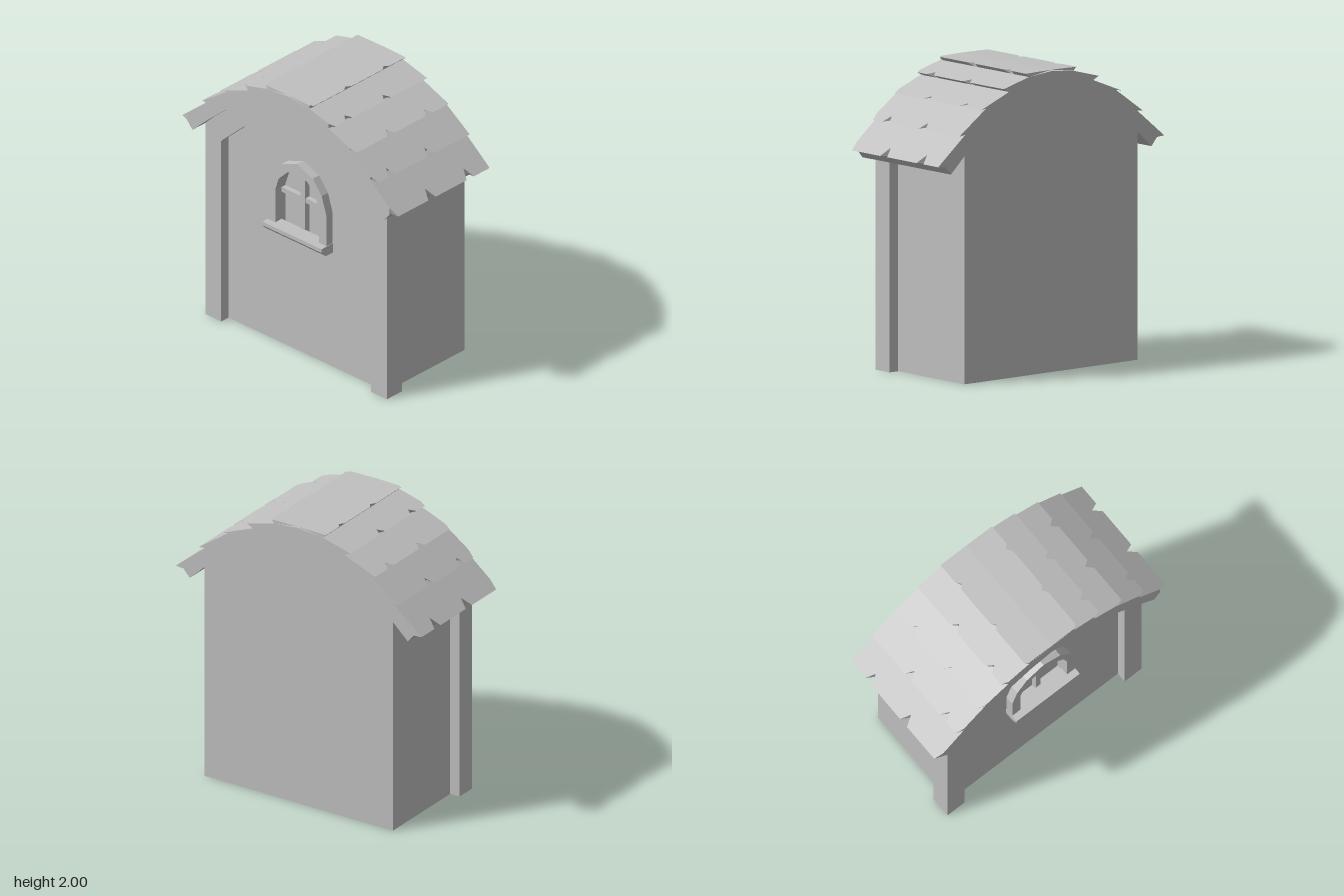
import * as THREE from 'three';

const BACK = -0.445, FRONT = 0.445;

// right half of the vault under the roof, eave to ridge
const VAULT = [[0.73, 1.52], [0.57, 1.66], [0.4, 1.77], [0.18, 1.85], [0, 1.88]];

// right half of an outline -> full closed outline, mirrored over x = 0
function mirrored(half) {
  const left = half.filter(([x]) => x > 0).reverse().map(([x, y]) => [-x, y]);
  return [...half, ...left].map(([x, y]) => new THREE.Vector2(x, y));
}

function extrude(points, z0, z1, hole) {
  const shape = new THREE.Shape(points);
  if (hole) shape.holes.push(new THREE.Path(hole));
  const geo = new THREE.ExtrudeGeometry(shape, { depth: z1 - z0, bevelEnabled: false });
  return geo.translate(0, 0, z0);
}

// loft of equal counter-clockwise sections [{ z, pts }] from back to front
function loft(sections) {
  const pos = [];
  const put = (s, i) => pos.push(s.pts[i][0], s.pts[i][1], s.z);
  const n = sections[0].pts.length;
  for (let k = 0; k + 1 < sections.length; k++) {
    const a = sections[k], b = sections[k + 1];
    for (let i = 0; i < n; i++) {
      const j = (i + 1) % n;
      put(a, i); put(a, j); put(b, j);
      put(a, i); put(b, j); put(b, i);
    }
  }
  const first = sections[0], last = sections[sections.length - 1];
  for (let i = 1; i + 1 < n; i++) {
    put(first, 0); put(first, i + 1); put(first, i);
    put(last, 0); put(last, i); put(last, i + 1);
  }
  const geo = new THREE.BufferGeometry();
  geo.setAttribute('position', new THREE.Float32BufferAttribute(pos, 3));
  geo.computeVertexNormals();
  return geo;
}

// wedge-shaped shingle: top edge, notch below its lip, and the lip itself
function shingle({ top, notch, lip }, side, z0, z1) {
  const t = (notch[0] - top[0]) / (lip[0] - top[0]);
  const cut = [notch[0], top[1] + (lip[1] - top[1]) * t];
  const section = (z, tip) => {
    const pts = [top, notch, tip].map(([x, y]) => [x * side, y]);
    return { z, pts: side < 0 ? pts.reverse() : pts };
  };
  const c = 0.035;
  const atBack = z0 === BACK, atFront = z1 === FRONT;
  const list = [section(z0, atBack ? lip : cut)];
  if (!atBack) list.push(section(z0 + c, lip));
  list.push(section(z1 - (atFront ? 0.02 : c), lip), section(z1, cut));
  return loft(list);
}

export function createModel() {
  const model = new THREE.Group();
  model.name = 'gardenHouse';
  const stone = new THREE.MeshStandardMaterial({ color: 0xc0c0c0 });
  stone.name = 'plain grey';

  const add = (name, geo, parent = model) => {
    const mesh = new THREE.Mesh(geo, stone);
    mesh.name = name;
    parent.add(mesh);
    return mesh;
  };

  // window outlines
  const windowOuter = mirrored([[0.262, 0.87], [0.262, 1.157], [0.22, 1.29], [0.14, 1.39], [0, 1.445]]);
  const windowInner = mirrored([[0.195, 0.9], [0.195, 1.18], [0.165, 1.27], [0.09, 1.345], [0, 1.38]]);

  // walls, with a front panel cut out for the window
  const wall = mirrored([[0.74, 0], [0.74, 1.511], ...VAULT]);
  add('walls', extrude(wall, BACK, 0.265));
  add('frontWall', extrude(wall, 0.265, 0.3, windowInner));

  // posts and arch around the front
  const archInner = [[0.67, 0], [0.67, 1.36], [0.47, 1.545], [0.24, 1.655], [0, 1.7]];
  const arch = mirrored([[0.813, 0], [0.813, 1.44], ...VAULT]);
  const half = archInner.map(([x, y]) => [x, y]);
  const left = half.slice(0, -1).map(([x, y]) => [-x, y]);
  const inside = [...left, ...half.reverse()].map(([x, y]) => new THREE.Vector2(x, y));
  // outline runs up the outside, down the left post, then back along the inside
  add('frontArch', extrude([...arch, ...inside], 0.225, 0.37));

  // window
  const win = new THREE.Group();
  win.name = 'window';
  model.add(win);
  add('windowFrame', extrude(windowOuter, 0.3, 0.36, windowInner), win);
  add('verticalBar', new THREE.BoxGeometry(0.04, 0.5, 0.04).translate(0, 1.125, 0.285), win);
  add('crossBar', new THREE.BoxGeometry(0.39, 0.035, 0.035).translate(0, 1.153, 0.282), win);
  // sill with a rounded underside, drawn in (z, y) and run along x
  const sill = new THREE.Shape();
  sill.moveTo(0.3, 0.86);
  sill.lineTo(0.365, 0.86);
  sill.quadraticCurveTo(0.385, 0.87, 0.408, 0.9);
  sill.lineTo(0.408, 0.928);
  sill.lineTo(0.3, 0.932);
  const sillGeo = new THREE.ExtrudeGeometry(sill, { depth: 0.53, bevelEnabled: false, curveSegments: 5 });
  add('windowSill', sillGeo.rotateY(-Math.PI / 2).scale(1, 1, 1).translate(0.265, 0, 0), win);

  // roof slab
  const roof = new THREE.Group();
  roof.name = 'roof';
  model.add(roof);
  const upper = [[0.905, 1.455], [0.735, 1.65], [0.555, 1.805], [0.36, 1.892], [0.19, 1.972], [0, 1.99]];
  const lower = [[0.858, 1.4], ...VAULT];
  const slab = [
    ...lower.slice().reverse(),
    ...upper,
    ...upper.slice(0, -1).reverse().map(([x, y]) => [-x, y]),
    ...lower.slice(0, -1).map(([x, y]) => [-x, y]),
  ].map(([x, y]) => new THREE.Vector2(x, y));
  add('roofSlab', extrude(slab, BACK, FRONT), roof);

  // overlapping shingle rows, joints staggered from row to row
  const lips = [[0.967, 1.46], [0.787, 1.642], [0.6, 1.797], [0.407, 1.915], [0.215, 1.996]];
  lips.forEach((lip, row) => {
    const top = row === 4 ? [0, 2] : upper[row + 1];
    const joints = row % 2 ? [-0.07, 0.295] : [-0.26, 0.105];
    const cuts = [BACK, ...joints, FRONT];
    for (const side of [1, -1]) {
      for (let i = 0; i < 3; i++) {
        add('shingle', shingle({ top, notch: upper[row], lip }, side, cuts[i], cuts[i + 1]), roof);
      }
    }
  });

  return model;
}
